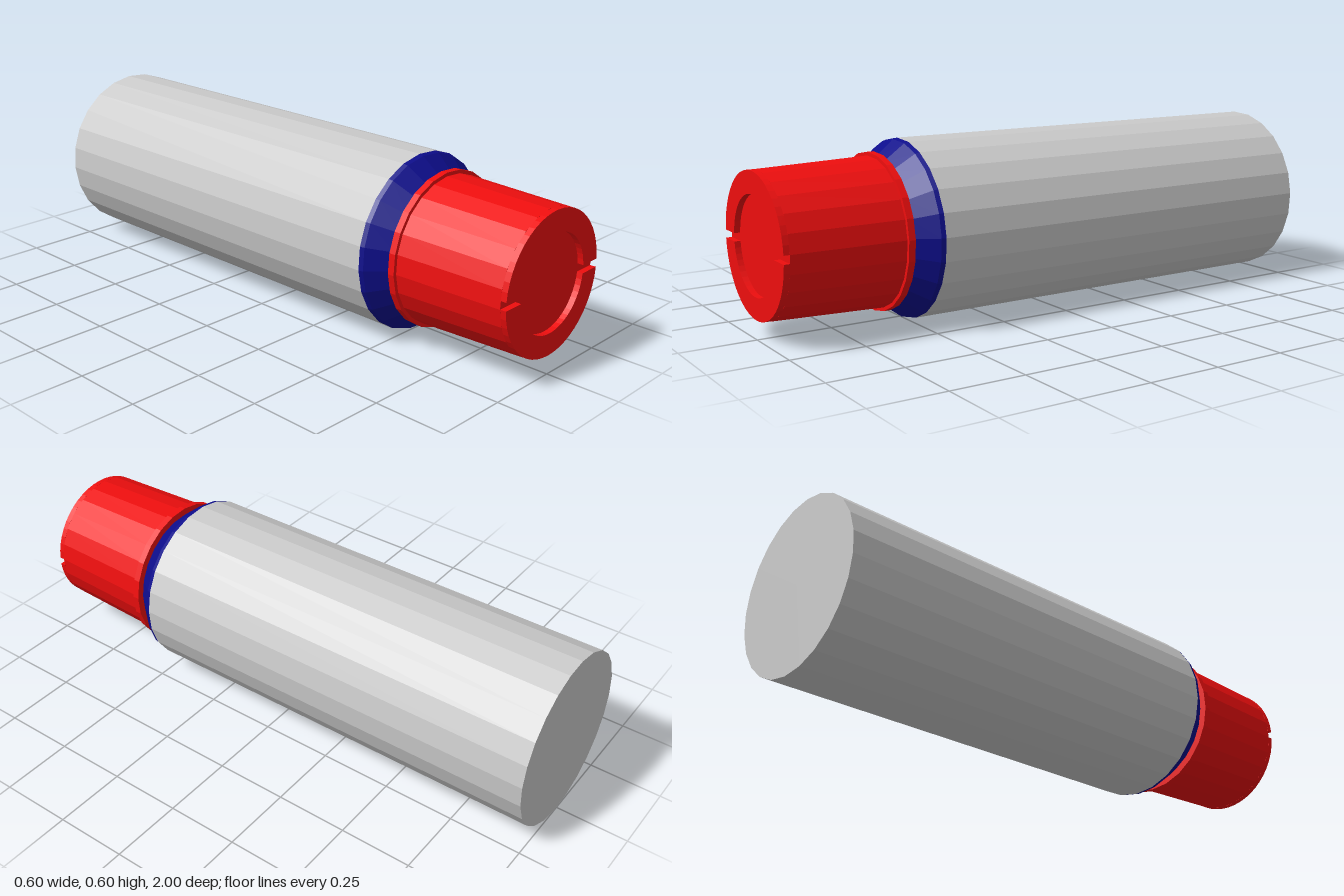
import * as THREE from 'three';

const SIDES = 24, PHASE = THREE.MathUtils.degToRad(3.3), AXIS_Y = 0.298;

const material = (color) => new THREE.MeshStandardMaterial({ color, flatShading: true });

export function createModel() {
  const model = new THREE.Group();
  model.name = 'capsule';
  const grey = material(0xcccccc), blue = material(0x0d0d8c), red = material(0xee0e0e);

  const add = (name, geometry, mat) => {
    const mesh = new THREE.Mesh(geometry, mat);
    mesh.name = name;
    mesh.position.y = AXIS_Y;
    model.add(mesh);
  };

  // Faceted frustum lying along z, from z0 (radius r0) to z1 (radius r1)
  const frustum = (name, z0, r0, z1, r1, mat) => {
    const g = new THREE.CylinderGeometry(r1, r0, z1 - z0, SIDES, 1, false, PHASE);
    g.rotateX(Math.PI / 2).translate(0, 0, (z0 + z1) / 2);
    add(name, g, mat);
  };

  frustum('body', -1, 0.298, 0.49, 0.298, grey);
  frustum('collarBand', 0.49, 0.298, 0.505, 0.294, blue);
  frustum('collarTaper', 0.505, 0.294, 0.577, 0.235, blue);
  frustum('capFlange', 0.577, 0.26, 0.6, 0.26, red);
  frustum('capBody', 0.6, 0.248, 0.98, 0.236, red);

  // Raised rim of two half rings, leaving a round recess and two side slots
  const outer = 0.235, inner = 0.161, slot = 0.0135;
  const a = Math.asin(slot / outer), b = Math.asin(slot / inner);
  const half = new THREE.Shape();
  half.absarc(0, 0, outer, a, Math.PI - a, false);
  half.absarc(0, 0, inner, Math.PI - b, b, true);
  half.closePath();
  for (const [name, turn] of [['capRimUpper', 0], ['capRimLower', Math.PI]]) {
    const g = new THREE.ExtrudeGeometry(half, { depth: 0.02, bevelEnabled: false, curveSegments: 12 });
    g.rotateZ(turn).translate(0, 0, 0.98);
    add(name, g, red);
  }
  return model;
}
